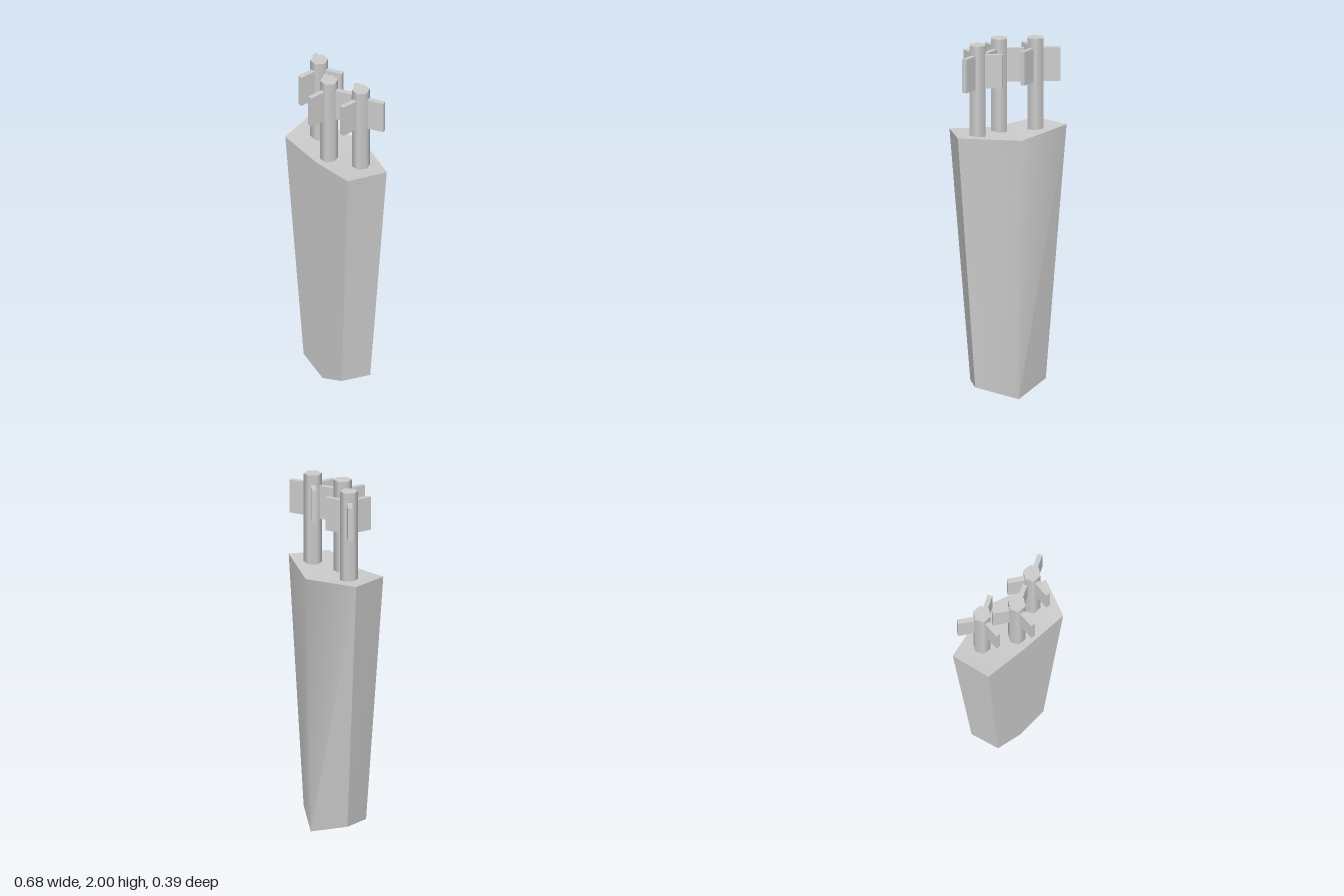
import * as THREE from 'three';
import { toCreasedNormals } from 'three/addons/utils/BufferGeometryUtils.js';

const material = new THREE.MeshStandardMaterial({ color: 0xcccccc });

function addMesh(parent, name, geometry) {
  const mesh = new THREE.Mesh(geometry, material);
  mesh.name = name;
  parent.add(mesh);
  return mesh;
}

// Six-cornered ring, counterclockwise from above, starting at the front middle
function ring(frontX, sideX, frontZ, sideZ, backZ, cornerY, frontY, backY) {
  return [
    [0, frontY, frontZ], [frontX, cornerY, frontZ], [sideX, cornerY, sideZ],
    [0, backY, backZ], [-sideX, cornerY, sideZ], [-frontX, cornerY, frontZ],
  ];
}

// Tapered case with a dipped lid and a keeled bottom
function caseGeometry() {
  const bottom = ring(0.165, 0.22, 0.095, -0.063, -0.16, 0.072, 0, 0);
  const top = ring(0.272, 0.339, 0.138, -0.083, -0.193, 1.5, 1.475, 1.47);
  const index = [];
  for (let i = 0; i < 6; i++) {
    const j = (i + 1) % 6;
    index.push(i, j, 6 + j, i, 6 + j, 6 + i);
  }
  for (let i = 1; i < 5; i++) {
    index.push(6, 6 + i, 7 + i, 0, i + 1, i);
  }
  const geometry = new THREE.BufferGeometry();
  geometry.setAttribute('position', new THREE.Float32BufferAttribute([...bottom, ...top].flat(), 3));
  geometry.setIndex(index);
  return toCreasedNormals(geometry, Math.PI / 4);
}

// Hexagonal shaft with three vanes, one pointing forward
function createArrow() {
  const arrow = new THREE.Group();
  arrow.name = 'arrow';
  const shaft = new THREE.CylinderGeometry(0.05, 0.05, 0.6, 6).rotateY(Math.PI / 6);
  addMesh(arrow, 'shaft', shaft).position.y = 1.7;
  for (let i = 0; i < 3; i++) {
    const vane = new THREE.BoxGeometry(0.027, 0.19, 0.127).translate(0, 1.85, 0.0735);
    addMesh(arrow, 'vane', vane).rotation.y = i * Math.PI * 2 / 3;
  }
  return arrow;
}

export function createModel() {
  const model = new THREE.Group();
  model.name = 'quiver';
  addMesh(model, 'case', caseGeometry());

  for (const [x, z] of [[-0.177, -0.025], [0.007, 0.055], [0.186, -0.025]]) {
    const arrow = createArrow();
    arrow.position.set(x, 0, z);
    model.add(arrow);
  }
  return model;
}
